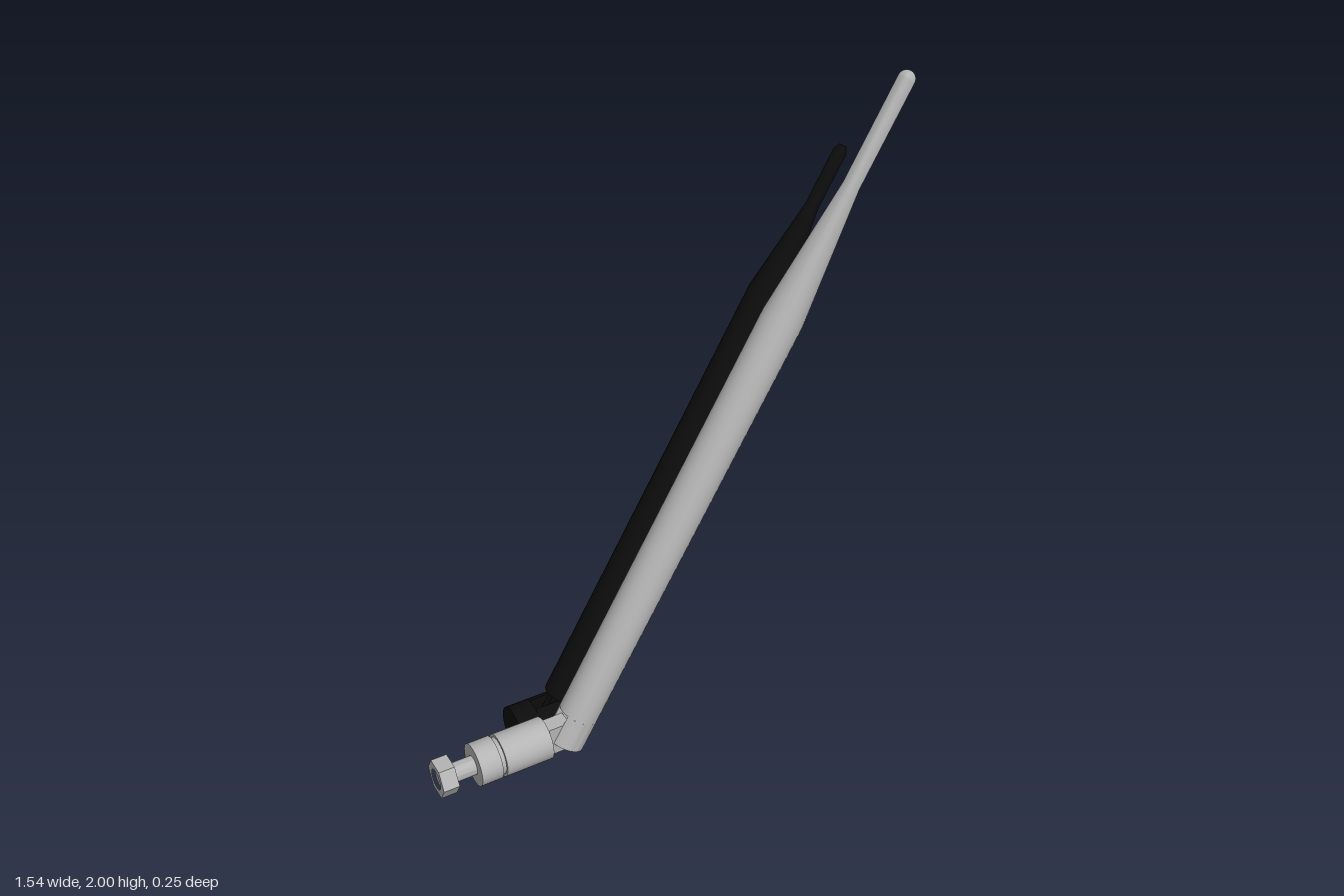
import * as THREE from 'three';
import { toCreasedNormals } from 'three/addons/utils/BufferGeometryUtils.js';

const metal = new THREE.MeshStandardMaterial({ color: 0xb4b4b4 });
metal.name = 'light grey';
const rubber = new THREE.MeshStandardMaterial({ color: 0x0c0c0c });
rubber.name = 'black';

function add(parent, name, geometry, material, x = 0, y = 0, z = 0) {
  const mesh = new THREE.Mesh(geometry, material);
  mesh.name = name;
  mesh.position.set(x, y, z);
  parent.add(mesh);
  return mesh;
}

// Turned solid along local y from [radius, height] pairs
function turned(points, segments = 32) {
  const profile = points.map(([r, h]) => new THREE.Vector2(r, h));
  return toCreasedNormals(new THREE.LatheGeometry(profile, segments), 0.5);
}

// One cheek of a slotted rod: the part of a cylinder beyond |z| = inset
function cheek(radius, inset, length, side) {
  const half = Math.acos(inset / radius);
  const shape = new THREE.Shape();
  shape.absarc(0, 0, radius, Math.PI / 2 - half, Math.PI / 2 + half, false);
  shape.closePath();
  const geo = new THREE.ExtrudeGeometry(shape, { depth: length, bevelEnabled: false, curveSegments: 16 });
  geo.rotateX(-Math.PI / 2);
  if (side > 0) geo.rotateY(Math.PI);
  return toCreasedNormals(geo, 0.5);
}

// Group whose local y axis leans towards +x by the given angle
function leaning(name, x, y, z, angle) {
  const group = new THREE.Group();
  group.name = name;
  group.position.set(x, y, z);
  group.rotation.z = -angle;
  return group;
}

function createGreyAntenna() {
  const antenna = new THREE.Group();
  antenna.name = 'greyAntenna';

  // Leaning mast with a forked foot and a round tip
  const mast = leaning('greyMast', -0.355, 0.075, 0.06, Math.PI / 6);
  antenna.add(mast);
  const profile = [[0, 0.1], [0.062, 0.1], [0.062, 1.465], [0.025, 1.876], [0.025, 2.194]];
  for (let i = 1; i <= 6; i++) {
    const a = (i / 6) * Math.PI / 2;
    profile.push([0.025 * Math.cos(a), 2.194 + 0.025 * Math.sin(a)]);
  }
  add(mast, 'greyMastBody', turned(profile), metal);
  for (const side of [-1, 1]) add(mast, 'greyForkCheek', cheek(0.062, 0.027, 0.1, side), metal);

  // Horizontal connector: collar, groove, sleeve and shaft
  const connector = leaning('connector', -0.775, 0.11, 0.056, Math.PI / 2);
  antenna.add(connector);
  add(connector, 'connectorSleeve', turned([
    [0, 0.04], [0.03, 0.04], [0.03, 0.12], [0.067, 0.12], [0.067, 0.188], [0.058, 0.188],
    [0.058, 0.202], [0.067, 0.202], [0.067, 0.355], [0, 0.355],
  ]), metal);
  add(connector, 'hingeTongue', new THREE.BoxGeometry(0.1, 0.075, 0.052), metal, 0, 0.39, 0.004);

  // Hexagonal nut with a bore and a pin inside it
  const hex = new THREE.Shape();
  for (let i = 0; i < 6; i++) {
    const a = (i * Math.PI) / 3;
    const p = [0.06 * Math.sin(a), 0.06 * Math.cos(a)];
    if (i) hex.lineTo(...p); else hex.moveTo(...p);
  }
  hex.closePath();
  const bore = new THREE.Path();
  bore.absarc(0, 0, 0.032, 0, Math.PI * 2, true);
  hex.holes.push(bore);
  const nut = new THREE.ExtrudeGeometry(hex, { depth: 0.05, bevelEnabled: false, curveSegments: 24 });
  nut.rotateX(-Math.PI / 2);
  add(connector, 'hexNut', nut, metal);
  add(connector, 'nutCore', new THREE.CylinderGeometry(0.033, 0.033, 0.04, 24), metal, 0, 0.03, 0);
  return antenna;
}

function createBlackAntenna() {
  const antenna = new THREE.Group();
  antenna.name = 'blackAntenna';

  // Leaning mast with a bevelled tip
  const mast = leaning('blackMast', -0.308, 0.157, -0.045, Math.PI / 6);
  antenna.add(mast);
  add(mast, 'blackMastBody', turned([
    [0, 0], [0.057, 0], [0.057, 1.4], [0.02, 1.677], [0.02, 1.845], [0.011, 1.865], [0, 1.865],
  ], 24), rubber);
  add(mast, 'blackTongue', new THREE.BoxGeometry(0.07, 0.13, 0.022), rubber, 0, -0.05, -0.005);

  // Slotted round base holding the tongue
  const base = leaning('slottedBase', -0.475, 0.078, -0.053, Math.PI / 2);
  antenna.add(base);
  add(base, 'baseEnd', turned([[0, 0], [0.074, 0], [0.074, 0.07], [0, 0.07]], 24), rubber);
  for (const side of [-1, 1]) {
    add(base, 'baseCheek', cheek(0.074, 0.022, 0.1, side), rubber, 0, 0.07, 0);
  }
  add(base, 'hingePin', new THREE.CylinderGeometry(0.014, 0.014, 0.06, 12), rubber, 0, 0.125, 0)
    .rotation.x = Math.PI / 2;
  return antenna;
}

export function createModel() {
  const model = new THREE.Group();
  model.name = 'antennaPair';
  model.add(createGreyAntenna(), createBlackAntenna());
  return model;
}
